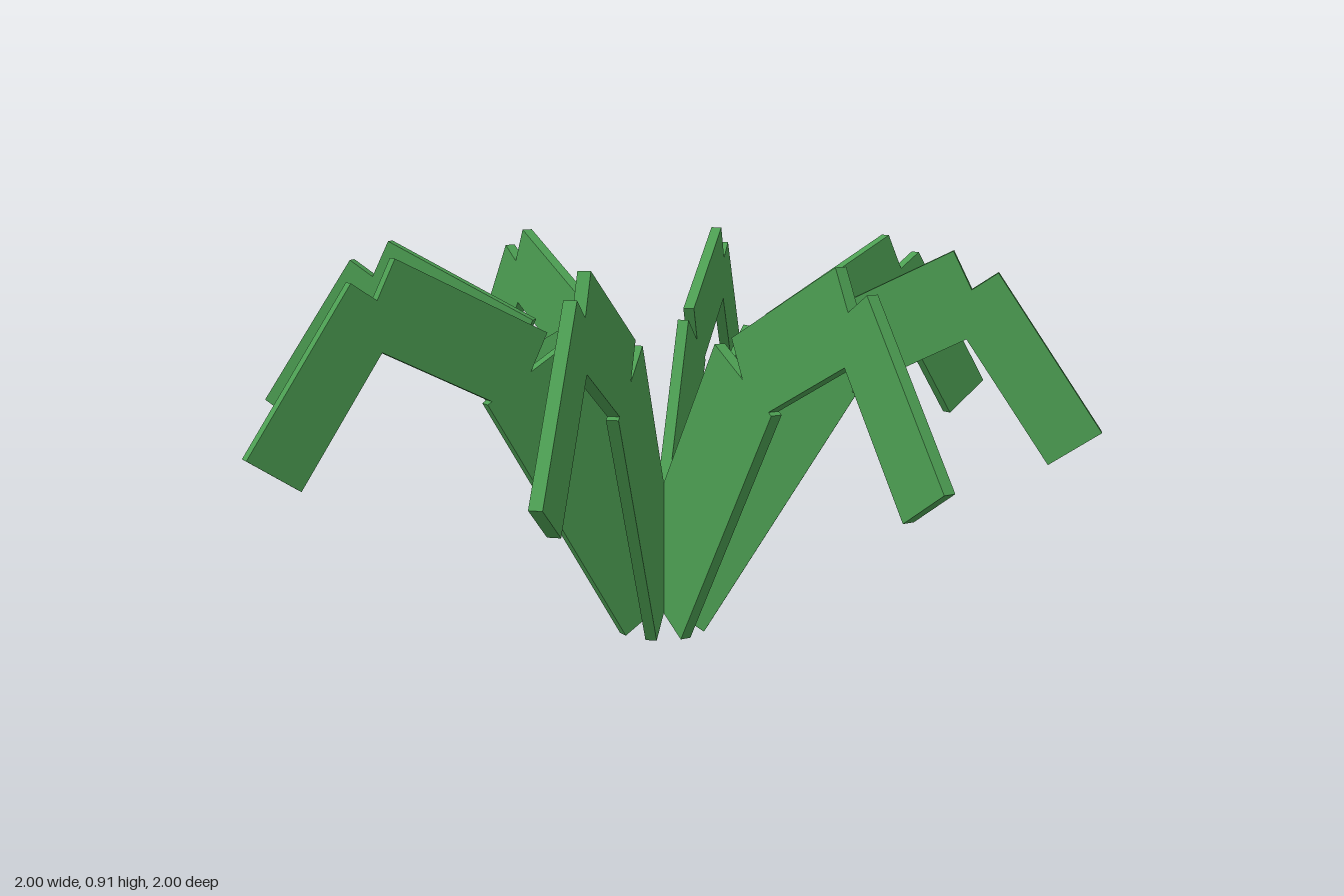
import * as THREE from 'three';

const THICKNESS = 0.027;

// Centre line of one leaf as [radius, height], with the width of each straight segment
const JOINTS = [[0, 0.067], [0.349, 0.652], [0.706, 0.831], [0.943, 0.483]];
const SEGMENTS = [
  { name: 'leafBase', width: 0.25 },
  { name: 'leafBend', width: 0.19 },
  { name: 'leafTip', width: 0.137 },
];

export function createModel() {
  const leafGreen = new THREE.MeshStandardMaterial({ color: 0x4c9e52 });
  leafGreen.name = 'leafGreen';

  const plant = new THREE.Group();
  plant.name = 'plant';

  // Eight leaves fan out around the vertical axis
  for (let i = 0; i < 8; i++) {
    const leaf = new THREE.Group();
    leaf.name = `leaf${i + 1}`;
    leaf.rotation.y = (i * Math.PI) / 4;

    // Each leaf is a chain of three flat boxes, narrowing and drooping outwards
    SEGMENTS.forEach(({ name, width }, s) => {
      const a = new THREE.Vector2(...JOINTS[s]);
      const d = new THREE.Vector2(...JOINTS[s + 1]).sub(a);
      const segment = new THREE.Mesh(
        new THREE.BoxGeometry(d.length(), width, THICKNESS), leafGreen);
      segment.name = name;
      segment.position.set(a.x + d.x / 2, a.y + d.y / 2, 0);
      segment.rotation.z = Math.atan2(d.y, d.x);
      leaf.add(segment);
    });
    plant.add(leaf);
  }
  return plant;
}
